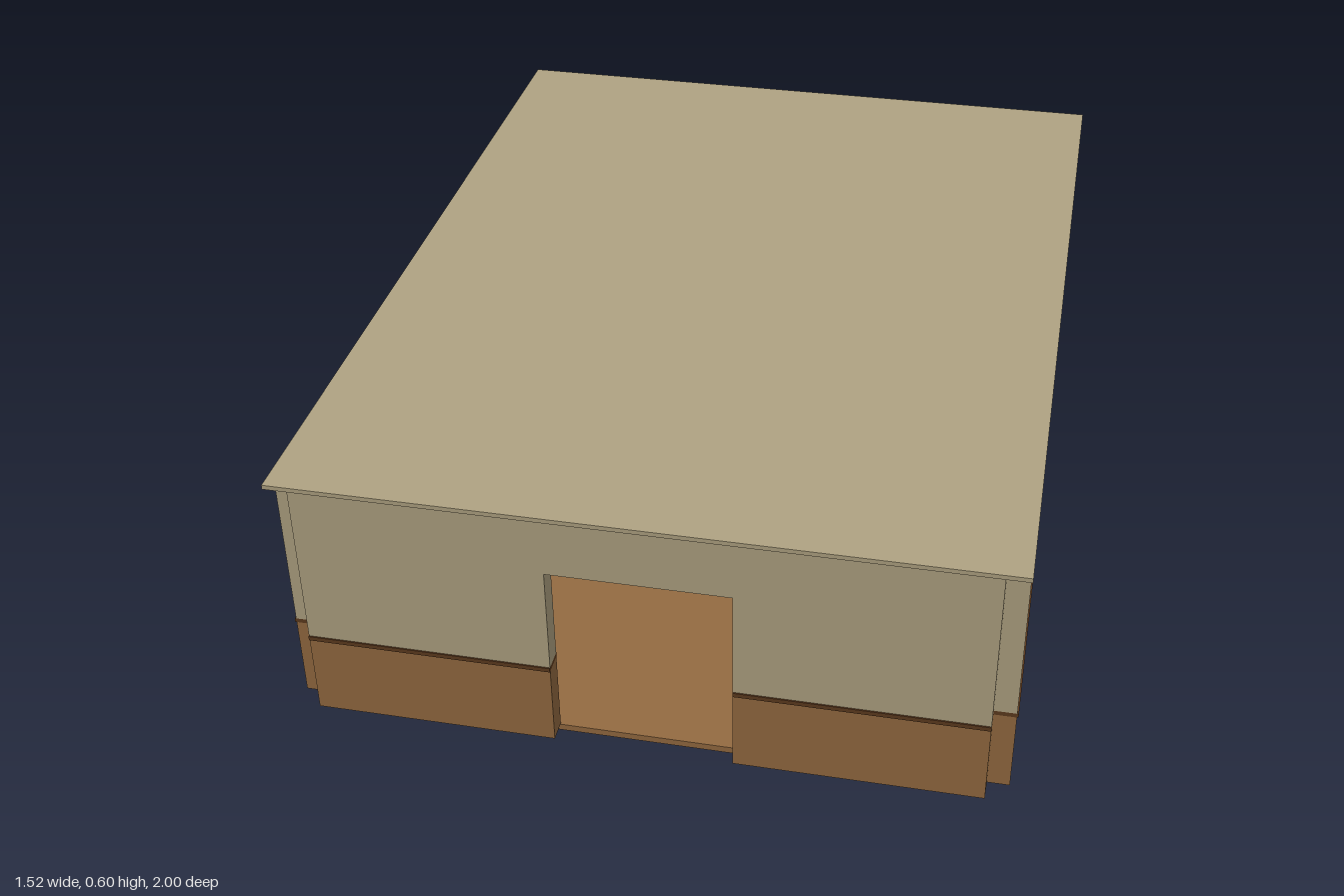
import * as THREE from 'three';

const mat = (name, color) => {
  const m = new THREE.MeshStandardMaterial({ color });
  m.name = name;
  return m;
};

export function createModel() {
  const plaster = mat('plaster', 0xb0a382);
  const wood = mat('wood', 0x946b41);
  const darkWood = mat('darkWood', 0x5e3b1e);
  const paleBlue = mat('paleBlue', 0xabc3cf);

  const group = new THREE.Group();

  // Box given by its lower and upper limits
  function box(parent, name, material, [x0, x1], [y0, y1], [z0, z1]) {
    const mesh = new THREE.Mesh(new THREE.BoxGeometry(x1 - x0, y1 - y0, z1 - z0), material);
    mesh.position.set((x0 + x1) / 2, (y0 + y1) / 2, (z0 + z1) / 2);
    mesh.name = name;
    parent.add(mesh);
  }

  const X = 0.757, Z = 0.997, T = 0.047;
  const BASE = 0.018, RAIL = 0.205, RAIL_TOP = 0.215, DOOR = 0.46, TOP = 0.59;

  // Wall along local x with its outer face at local z = 0, and one doorway
  function wall(name, half, d0, d1, distance, angle) {
    const w = new THREE.Group();
    w.name = name;
    for (const [a, b] of [[-half, d0], [d1, half]]) {
      box(w, 'wainscot', wood, [a, b], [BASE, RAIL], [-T, 0]);
      box(w, 'rail', darkWood, [a, b], [RAIL, RAIL_TOP], [-T - 0.003, 0.003]);
      box(w, 'upperWall', plaster, [a, b], [RAIL_TOP, TOP], [-T, 0]);
    }
    box(w, 'lintel', plaster, [d0, d1], [DOOR, TOP], [-T, 0]);
    w.position.set(Math.sin(angle) * distance, 0, Math.cos(angle) * distance);
    w.rotation.y = angle;
    group.add(w);
  }

  wall('frontWall', 0.71, -0.19, 0.19, Z, 0);
  wall('backWall', 0.71, -0.19, 0.19, Z, Math.PI);
  wall('leftWall', 0.95, 0.045, 0.425, X, Math.PI / 2);
  wall('rightWall', 0.95, 0.045, 0.425, X, -Math.PI / 2);

  box(group, 'floor', wood, [-0.71, 0.71], [0, 0.015], [-0.95, 0.95]);
  box(group, 'roof', plaster, [-0.76, 0.76], [TOP, 0.6], [-1, 1]);

  // Ceiling beams
  for (const z of [-0.5, 0, 0.5]) {
    box(group, 'ceilingBeam', darkWood, [-0.709, 0.709], [0.53, TOP], [z - 0.025, z + 0.025]);
  }

  // Cabinet beside the left doorway
  const cabinet = new THREE.Group();
  cabinet.name = 'cabinet';
  box(cabinet, 'cabinetBase', wood, [0.4, 0.7], [0.015, 0.16], [-0.04, 0.22]);
  box(cabinet, 'cabinetTop', paleBlue, [0.4, 0.7], [0.16, 0.36], [-0.04, 0.22]);
  group.add(cabinet);

  return group;
}
